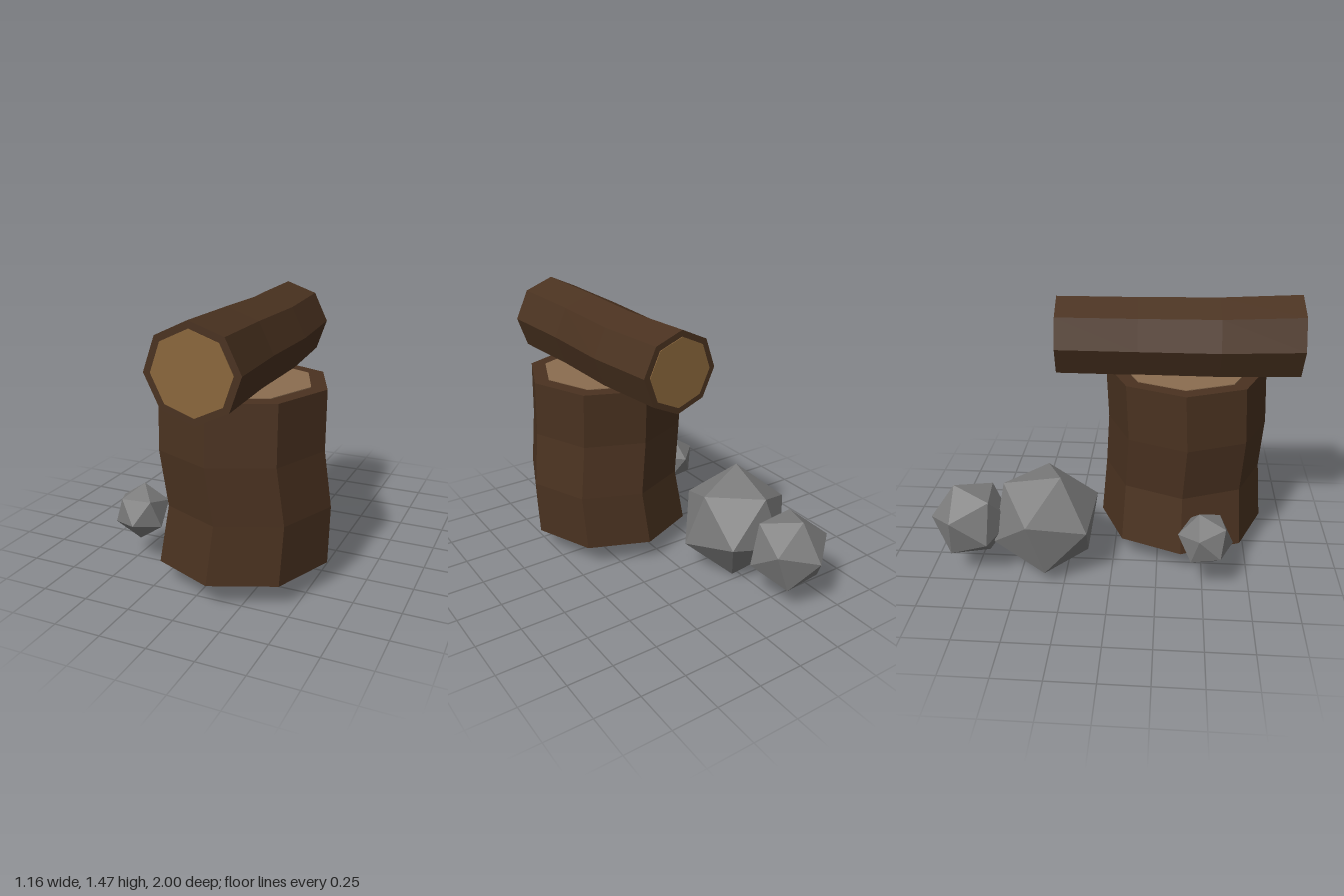
import * as THREE from 'three';

const material = (color) => new THREE.MeshStandardMaterial({ color, flatShading: true });

function add(parent, name, geometry, mat) {
  const mesh = new THREE.Mesh(geometry, mat);
  mesh.name = name;
  parent.add(mesh);
  return mesh;
}

// Eight-sided crooked trunk through rings [x, y, z, radius], listed from top to bottom
function trunkGeometry(rings, roll = 0) {
  const n = rings.length - 1;
  const g = new THREE.CylinderGeometry(1, 1, 1, 8, n).rotateY(roll);
  const p = g.attributes.position;
  for (let i = 0; i < p.count; i++) {
    const [x, y, z, r] = rings[Math.round((0.5 - p.getY(i)) * n)];
    p.setXYZ(i, x + p.getX(i) * r, y, z + p.getZ(i) * r);
  }
  g.computeVertexNormals();
  return g;
}

// Thin disc of bare wood centred on a trunk end
function woodDisc([x, y, z, r], scale, roll = 0) {
  return new THREE.CylinderGeometry(r * scale, r * scale, 0.008, 8).rotateY(roll).translate(x, y, z);
}

// Icosahedron turned so that two neighbouring corners point along a and b
function rockGeometry(radius, a, b) {
  const va = new THREE.Vector3(...a).normalize();
  const vb = new THREE.Vector3(...b).normalize();
  const y = va.clone().add(vb).normalize();
  const z = vb.clone().sub(va).cross(y).normalize();
  const x = y.clone().cross(z);
  return new THREE.IcosahedronGeometry(radius, 0).applyMatrix4(new THREE.Matrix4().makeBasis(x, y, z));
}

export function createModel() {
  const model = new THREE.Group();
  model.name = 'stumpWithLogAndRocks';
  const bark = material(0x4a3220);
  const stumpWood = material(0x8b6d50);
  const logWood = material(0x8b673c);
  const stone = material(0x7c7c7c);

  // Upright stump
  const stump = new THREE.Group();
  stump.name = 'stump';
  model.add(stump);
  const stumpRings = [
    [0.103, 1.06, 0.38, 0.443],
    [0.103, 0.75, 0.396, 0.443],
    [0.138, 0.45, 0.38, 0.443],
    [0.103, 0.135, 0.38, 0.467],
  ];
  add(stump, 'stumpBark', trunkGeometry(stumpRings), bark);
  add(stump, 'stumpTopWood', woodDisc(stumpRings[0], 0.81), stumpWood);

  // Log lying across the stump, built upright and then laid along z
  const log = new THREE.Group();
  log.name = 'log';
  log.position.set(0.102, 1.238, 0.33);
  log.rotation.y = 0.042;
  model.add(log);
  const roll = 0.05;
  const logRings = [
    [0, 0.657, -0.002, 0.235],
    [-0.01, 0.219, 0.007, 0.229],
    [0.01, -0.219, 0.01, 0.225],
    [0, -0.657, 0.001, 0.222],
  ];
  const lay = (g) => g.rotateX(Math.PI / 2);
  add(log, 'logBark', lay(trunkGeometry(logRings, roll)), bark);
  add(log, 'logFrontWood', lay(woodDisc(logRings[0], 0.845, roll)), logWood);
  add(log, 'logBackWood', lay(woodDisc(logRings[3], 0.845, roll)), logWood);

  // Rocks: name, centre, radius, two corner directions
  const rocks = [
    ['largeRock', [-0.288, 0.297, -0.365], 0.315, [-0.077, 0.291, 0.092], [0.122, 0.093, 0.275]],
    ['backRock', [-0.328, 0.297, -0.776], 0.223, [-0.005, 0.206, -0.087], [-0.022, 0.013, -0.222]],
    ['sideRock', [-0.446, 0.297, 0.508], 0.152, [-0.004, 0.145, -0.037], [0.123, 0.052, -0.078]],
  ];
  for (const [name, centre, radius, a, b] of rocks) {
    add(model, name, rockGeometry(radius, a, b), stone).position.set(...centre);
  }
  return model;
}
